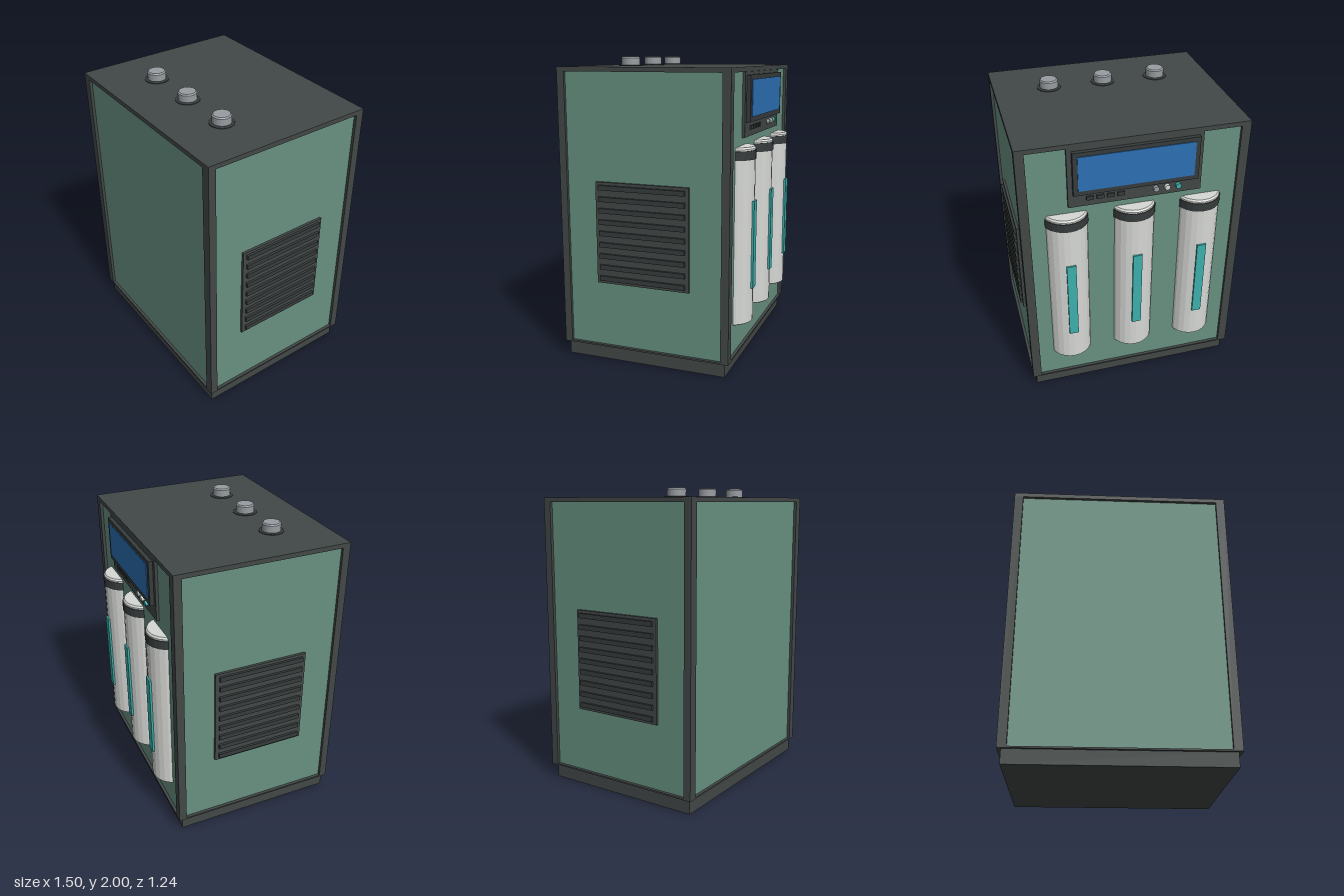
import * as THREE from 'three';

const paint = (name, color) => {
  const m = new THREE.MeshStandardMaterial({ color });
  m.name = name;
  return m;
};

export function createModel() {
  const model = new THREE.Group();
  model.name = 'cabinet';
  const green = paint('panelGreen', 0x679181);
  const dark = paint('frameCharcoal', 0x424847);
  const black = paint('trimBlack', 0x363b3b);
  const metal = paint('portGrey', 0x989da1);
  const white = paint('tankWhite', 0xd6d8d5);
  const teal = paint('teal', 0x3cb0ac);
  const blue = paint('screenBlue', 0x2c70b3);

  const add = (name, geometry, material, x = 0, y = 0, z = 0, parent = model) => {
    const mesh = new THREE.Mesh(geometry, material);
    mesh.name = name;
    mesh.position.set(x, y, z);
    parent.add(mesh);
    return mesh;
  };
  // box given by its lower and upper limits on each axis
  const box = (name, material, [x0, x1], [y0, y1], [z0, z1], parent = model) =>
    add(name, new THREE.BoxGeometry(x1 - x0, y1 - y0, z1 - z0), material,
      (x0 + x1) / 2, (y0 + y1) / 2, (z0 + z1) / 2, parent);
  const faceted = (profile, sides) => {
    const points = profile.map(([r, y]) => new THREE.Vector2(r, y));
    const g = new THREE.LatheGeometry(points, sides).toNonIndexed();
    g.computeVertexNormals();
    return g;
  };

  // plinth, recessed panels and frame
  box('plinth', dark, [-0.71, 0.71], [0, 0.1], [-0.51, 0.6]);
  box('panels', green, [-0.715, 0.715], [0.102, 1.92], [-0.52, 0.6]);
  box('topFrame', dark, [-0.735, 0.735], [1.91, 1.94], [-0.54, 0.62]);
  box('bottomFrame', dark, [-0.735, 0.735], [0.095, 0.106], [-0.54, 0.62]);
  for (const s of [-1, 1]) {
    const xs = s > 0 ? [0.675, 0.735] : [-0.735, -0.675];
    box('frontPost', dark, xs, [0.1, 1.92], [0.57, 0.62]);
    box('backPost', dark, xs, [0.1, 1.92], [-0.54, -0.487]);
  }

  // side vents with louvre slats
  for (const s of [-1, 1]) {
    const vent = new THREE.Group();
    vent.name = s > 0 ? 'leftVent' : 'rightVent';
    model.add(vent);
    add('ventPlate', new THREE.BoxGeometry(0.03, 0.675, 0.64), dark, s * 0.717, 0.877, 0.045, vent);
    for (let i = 0; i < 9; i++) {
      add('ventSlat', new THREE.BoxGeometry(0.03, 0.032, 0.59), black,
        s * 0.733, 0.575 + i * 0.0755, 0.045, vent);
    }
  }

  // ports on the top
  const collar = faceted([[0, 0], [0.08, 0], [0.08, 0.006], [0.074, 0.009], [0, 0.009]], 32);
  const port = faceted([[0, 0], [0.061, 0], [0.061, 0.052], [0.053, 0.06], [0, 0.06]], 32);
  for (const x of [-0.37, 0, 0.37]) {
    add('portCollar', collar, black, x, 1.938, 0.27);
    add('port', port, metal, x, 1.94, 0.27);
  }

  // filter tanks half sunk in the back panel
  const tank = faceted([[0, 0.3], [0.14, 0.3], [0.145, 0.305], [0.145, 1.44], [0.136, 1.452], [0, 1.452]], 24);
  const band = faceted([[0.14, 1.372], [0.15, 1.372], [0.15, 1.43], [0.14, 1.43]], 24);
  for (const x of [-0.44, 0, 0.44]) {
    add('tank', tank, white, x, 0, -0.465);
    add('tankBand', band, black, x, 0, -0.465);
    box('tankGauge', teal, [x - 0.031, x + 0.031], [0.53, 1.105], [-0.62, -0.6]);
  }

  // control panel with screen, keys and indicator lamps
  const control = new THREE.Group();
  control.name = 'controlPanel';
  model.add(control);
  box('controlPlate', dark, [-0.43, 0.43], [1.5, 1.909], [-0.538, -0.515], control);
  box('screenBezel', black, [-0.4, 0.4], [1.595, 1.89], [-0.565, -0.53], control);
  box('screen', blue, [-0.37, 0.37], [1.627, 1.862], [-0.57, -0.562], control);
  for (let i = 0; i < 4; i++) {
    const x = 0.095 + i * 0.066;
    box('key', black, [x - 0.023, x + 0.023], [1.542, 1.568], [-0.549, -0.53], control);
  }
  const lamp = new THREE.CylinderGeometry(0.018, 0.018, 0.026, 16).rotateX(Math.PI / 2);
  [metal, white, teal].forEach((m, i) => add('lamp', lamp, m, -0.13 - i * 0.073, 1.555, -0.547, control));

  return model;
}
